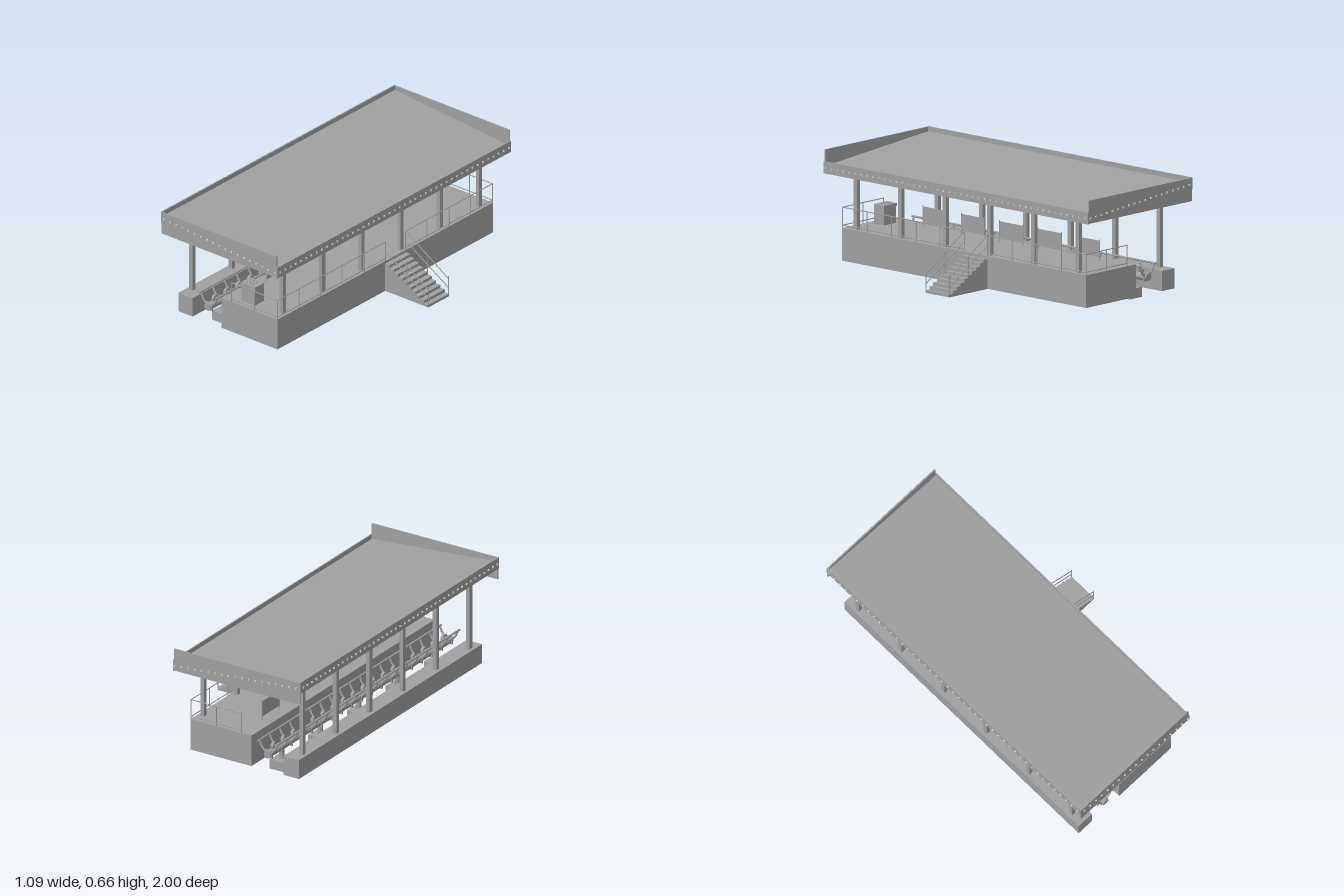
import * as THREE from 'three';

const grey = new THREE.MeshStandardMaterial({ color: 0xa0a0a0 });
grey.name = 'concrete grey';
const pale = new THREE.MeshStandardMaterial({ color: 0xd0d0c4 });
pale.name = 'bulb pale';

export function createModel() {
  const model = new THREE.Group();
  model.name = 'trackStation';

  const add = (name, geometry, material = grey) => {
    const mesh = new THREE.Mesh(geometry, material);
    mesh.name = name;
    model.add(mesh);
    return mesh;
  };
  // box given by its extents
  const box = (name, x0, x1, y0, y1, z0, z1, material) => {
    const mesh = add(name, new THREE.BoxGeometry(x1 - x0, y1 - y0, z1 - z0), material);
    mesh.position.set((x0 + x1) / 2, (y0 + y1) / 2, (z0 + z1) / 2);
    return mesh;
  };
  // round bar between two points
  const bar = (name, a, b, r, sides = 8) => {
    const p = new THREE.Vector3(...a), q = new THREE.Vector3(...b);
    const mesh = add(name, new THREE.CylinderGeometry(r, r, p.distanceTo(q), sides));
    mesh.position.copy(p).add(q).multiplyScalar(0.5);
    mesh.quaternion.setFromUnitVectors(new THREE.Vector3(0, 1, 0), q.sub(p).normalize());
    return mesh;
  };
  // solid made from an x-y outline, stretched along z
  const prism = (name, points, z0, z1) => {
    const shape = new THREE.Shape(points.map(([x, y]) => new THREE.Vector2(x, y)));
    const mesh = add(name, new THREE.ExtrudeGeometry(shape, { depth: z1 - z0, bevelEnabled: false }));
    mesh.position.z = z0;
    return mesh;
  };

  const END = 0.915, X0 = -0.535, X1 = 0.29, ROOF_Z = 0.985;
  const roofY = (x) => 0.625 - (x - X0) * 0.0815;

  // platform and low column wall
  box('platform', -0.167, 0.232, 0.037, 0.22, -END, END);
  box('columnWall', -0.478, -0.376, 0.037, 0.15, -END, END);

  // staircase
  const steps = [[0.232, 0.037], [0.54, 0.037]];
  for (let i = 9; i >= 0; i--) {
    const y = 0.205 - i * 0.017;
    steps.push([0.232 + (i + 1) * 0.0308, y], [0.232 + i * 0.0308, y]);
  }
  prism('stairs', steps, -0.177, 0);

  // sloped roof sheet and fascia boards
  const slab = (name, xa, xb, top, bottom, z0, z1) => prism(name, [
    [xa, roofY(xa) + bottom], [xb, roofY(xb) + bottom],
    [xb, roofY(xb) + top], [xa, roofY(xa) + top]], z0, z1);
  slab('roof', X0, X1, 0.008, -0.008, -ROOF_Z, ROOF_Z);
  for (const s of [-1, 1]) {
    const z = s * (ROOF_Z + 0.003);
    box('endFascia', X0, X1, 0.528, 0.658, z - 0.004, z + 0.004);
  }
  box('highFascia', X0 - 0.004, X0 + 0.004, 0.592, 0.66, -0.992, 0.992);
  box('lowFascia', X1, X1 + 0.007, 0.525, 0.592, -0.992, 0.992);

  // light bulbs round the fascia
  const bulb = (x, y, z) => box('bulb', x - 0.0045, x + 0.0045, y - 0.0045, y + 0.0045, z - 0.0045, z + 0.0045, pale);
  for (let i = 0; i < 19; i++) {
    const x = -0.512 + i * 0.0441;
    for (const s of [-1, 1]) bulb(Math.min(x, 0.285), roofY(x) - 0.001, s * 0.995);
  }
  for (let i = 0; i < 45; i++) {
    const z = (i - 22) * 0.0441;
    bulb(X0 - 0.007, 0.625, z);
    bulb(X1 + 0.009, 0.557, z);
  }

  // column pairs with sloped beams
  for (let i = 0; i < 6; i++) {
    const z = (i - 2.5) * 0.333;
    box('outerColumn', -0.459, -0.435, 0.15, 0.61, z - 0.013, z + 0.013);
    box('platformColumn', 0.189, 0.213, 0.22, 0.557, z - 0.013, z + 0.013);
    slab('roofBeam', -0.459, 0.213, -0.008, -0.034, z - 0.013, z + 0.013);
  }

  // hanging lamps
  for (let i = 0; i < 6; i++) {
    const z = (i - 2.5) * 0.285;
    const shade = add('lampShade', new THREE.CylinderGeometry(0.006, 0.026, 0.016, 16));
    shade.position.set(0.036, 0.516, z);
    bar('lampStem', [0.036, 0.52, z], [0.036, 0.575, z], 0.003);
  }

  // platform railings
  const R = 0.0028;
  const railing = (a, b, bays) => {
    for (const y of [0.236, 0.337]) bar('handrail', [a[0], y, a[1]], [b[0], y, b[1]], R);
    for (let i = 0; i <= bays; i++) {
      const t = i / bays, x = a[0] + (b[0] - a[0]) * t, z = a[1] + (b[1] - a[1]) * t;
      bar('railPost', [x, 0.22, z], [x, 0.339, z], R);
    }
  };
  railing([0.23, 0.912], [0.23, -0.003], 5);
  railing([0.23, -0.174], [0.23, -0.912], 4);
  for (const z of [-0.912, 0.912]) railing([-0.1, z], [0.23, z], 2);

  // stair railings
  for (const z of [-0.174, -0.003]) {
    bar('stairRail', [0.232, 0.337, z], [0.54, 0.145, z], R);
    bar('stairRail', [0.232, 0.277, z], [0.54, 0.09, z], R);
    bar('stairPost', [0.387, 0.12, z], [0.387, 0.243, z], R);
    bar('stairPost', [0.539, 0.052, z], [0.539, 0.16, z], R);
  }

  // boarding gates along the track edge
  for (let i = 0; i < 5; i++) {
    const z = -0.045 + (i - 2) * 0.287;
    box('gatePanel', -0.102, -0.098, 0.24, 0.332, z - 0.085, z + 0.085);
    for (const s of [-1, 1]) bar('gatePost', [-0.1, 0.22, z + s * 0.088], [-0.1, 0.339, z + s * 0.088], R);
  }

  // control desk with buttons
  box('controlDesk', -0.067, 0.03, 0.22, 0.33, 0.79, 0.865);
  box('deskLip', -0.074, -0.067, 0.315, 0.33, 0.79, 0.865);
  for (const x of [-0.047, -0.025, -0.003]) {
    for (const z of [0.81, 0.84]) {
      add('button', new THREE.CylinderGeometry(0.005, 0.005, 0.008, 10)).position.set(x, 0.334, z);
    }
  }

  // track: spine, rails and V-shaped ties
  const TX = -0.27, TY = 0.131;
  bar('trackSpine', [TX, TY, -END], [TX, TY, END], 0.022, 16);
  for (const s of [-1, 1]) bar('runningRail', [TX + s * 0.06, 0.2, -END], [TX + s * 0.06, 0.2, END], 0.006);
  for (let i = 0; i < 19; i++) {
    const z = (i - 9) * 0.1;
    box('tieCollar', TX - 0.025, TX + 0.025, TY - 0.022, TY + 0.022, z - 0.005, z + 0.005);
    for (const s of [-1, 1]) {
      bar('tieArm', [TX + s * 0.022, 0.14, z], [TX + s * 0.046, 0.168, z], 0.006);
      bar('tieArm', [TX + s * 0.046, 0.168, z], [TX + s * 0.06, 0.2, z], 0.006);
    }
  }

  // drive wheels on top of the spine
  for (let i = 0; i < 18; i++) {
    const z = (i - 8.5) * 0.1;
    bar('driveWheel', [TX - 0.008, 0.162, z], [TX + 0.008, 0.162, z], 0.022, 14);
    bar('wheelAxle', [TX - 0.016, 0.164, z], [TX + 0.016, 0.164, z], 0.008);
  }

  // track footings and support posts
  for (let i = -2; i <= 2; i++) {
    const z = i * 0.385;
    box('footing', -0.319, -0.223, 0, 0.056, z - 0.048, z + 0.048);
    bar('trackSupport', [TX, 0.056, z], [TX, 0.12, z], 0.015, 12);
  }
  return model;
}
